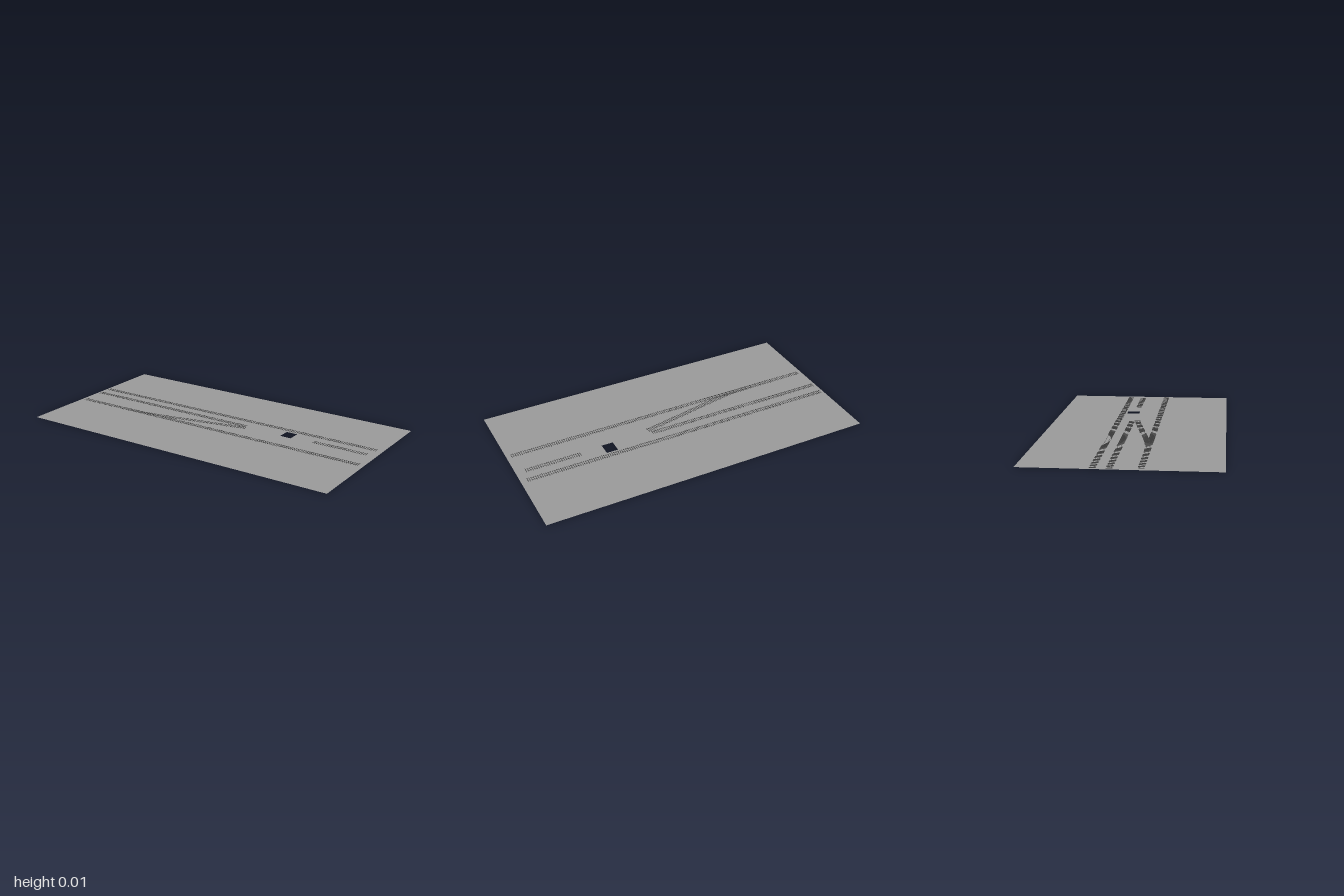
import * as THREE from 'three';
import { mergeGeometries } from 'three/addons/utils/BufferGeometryUtils.js';

const groundMaterial = new THREE.MeshStandardMaterial({ color: 0x9b9b9b, side: THREE.DoubleSide });
const trackMaterial = new THREE.MeshStandardMaterial({ color: 0x4a4a4a, flatShading: true });
const SLEEPER = { length: 0.035, width: 0.0026, height: 0.0014, spacing: 0.0125 };
const RAIL = { offset: 0.0095, width: 0.0012, height: 0.0012 };

// Box lying along a heading, resting at height y
function barAt(along, height, across, x, y, z, heading) {
  const g = new THREE.BoxGeometry(along, height, across);
  g.rotateY(heading);
  return g.translate(x, y + height / 2, z);
}

// Sleepers and two rails following a path of [x, z] points
function makeTrack(name, points, base) {
  const curve = new THREE.CatmullRomCurve3(points.map(([x, z]) => new THREE.Vector3(x, 0, z)));
  const length = curve.getLength();
  const track = new THREE.Group();
  track.name = name;

  const sleepers = [];
  const count = Math.round(length / SLEEPER.spacing);
  for (let i = 0; i <= count; i++) {
    const p = curve.getPointAt(i / count);
    const t = curve.getTangentAt(i / count);
    sleepers.push(barAt(SLEEPER.width, SLEEPER.height, SLEEPER.length, p.x, base, p.z, Math.atan2(-t.z, t.x)));
  }
  const sleeperMesh = new THREE.Mesh(mergeGeometries(sleepers), trackMaterial);
  sleeperMesh.name = 'sleepers';
  track.add(sleeperMesh);

  const steps = points.length > 2 ? 24 : 1;
  for (const side of [-1, 1]) {
    const pieces = [];
    const pointOnRail = (u) => {
      const t = curve.getTangentAt(u);
      return curve.getPointAt(u).add(new THREE.Vector3(-t.z, 0, t.x).multiplyScalar(side * RAIL.offset));
    };
    for (let i = 0; i < steps; i++) {
      const a = pointOnRail(i / steps);
      const b = pointOnRail((i + 1) / steps);
      pieces.push(barAt(a.distanceTo(b), RAIL.height, RAIL.width, (a.x + b.x) / 2,
        base + SLEEPER.height, (a.z + b.z) / 2, Math.atan2(a.z - b.z, b.x - a.x)));
    }
    const rail = new THREE.Mesh(mergeGeometries(pieces), trackMaterial);
    rail.name = side < 0 ? 'backRail' : 'frontRail';
    track.add(rail);
  }
  return track;
}

export function createModel() {
  const model = new THREE.Group();

  // Flat ground sheet with a rectangular opening
  const outline = new THREE.Shape([[-1, -0.53], [1, -0.53], [1, 0.53], [-1, 0.53]]
    .map(([x, y]) => new THREE.Vector2(x, y)));
  outline.holes.push(new THREE.Path([[0.4, 0.03], [0.4, 0.107], [0.47, 0.107], [0.47, 0.03]]
    .map(([x, y]) => new THREE.Vector2(x, y))));
  const ground = new THREE.Mesh(new THREE.ShapeGeometry(outline).rotateX(-Math.PI / 2), groundMaterial);
  ground.name = 'ground';
  model.add(ground);

  // Parallel tracks, the middle one interrupted by the opening
  model.add(makeTrack('backTrack', [[-0.98, -0.135], [0.96, -0.135]], 0.0005));
  model.add(makeTrack('middleTrackRight', [[-0.98, -0.05], [0.15, -0.05]], 0.0005));
  model.add(makeTrack('middleTrackLeft', [[0.61, -0.05], [0.94, -0.05]], 0.0005));
  model.add(makeTrack('frontTrack', [[-0.97, 0.11], [0.97, 0.11]], 0.0025));

  // Branch curving off the front track
  model.add(makeTrack('branchTrack',
    [[-0.62, 0.11], [-0.5, 0.105], [-0.4, 0.092], [-0.3, 0.074], [-0.07, 0.027], [0.165, -0.018]], 0.0025));

  return model;
}
